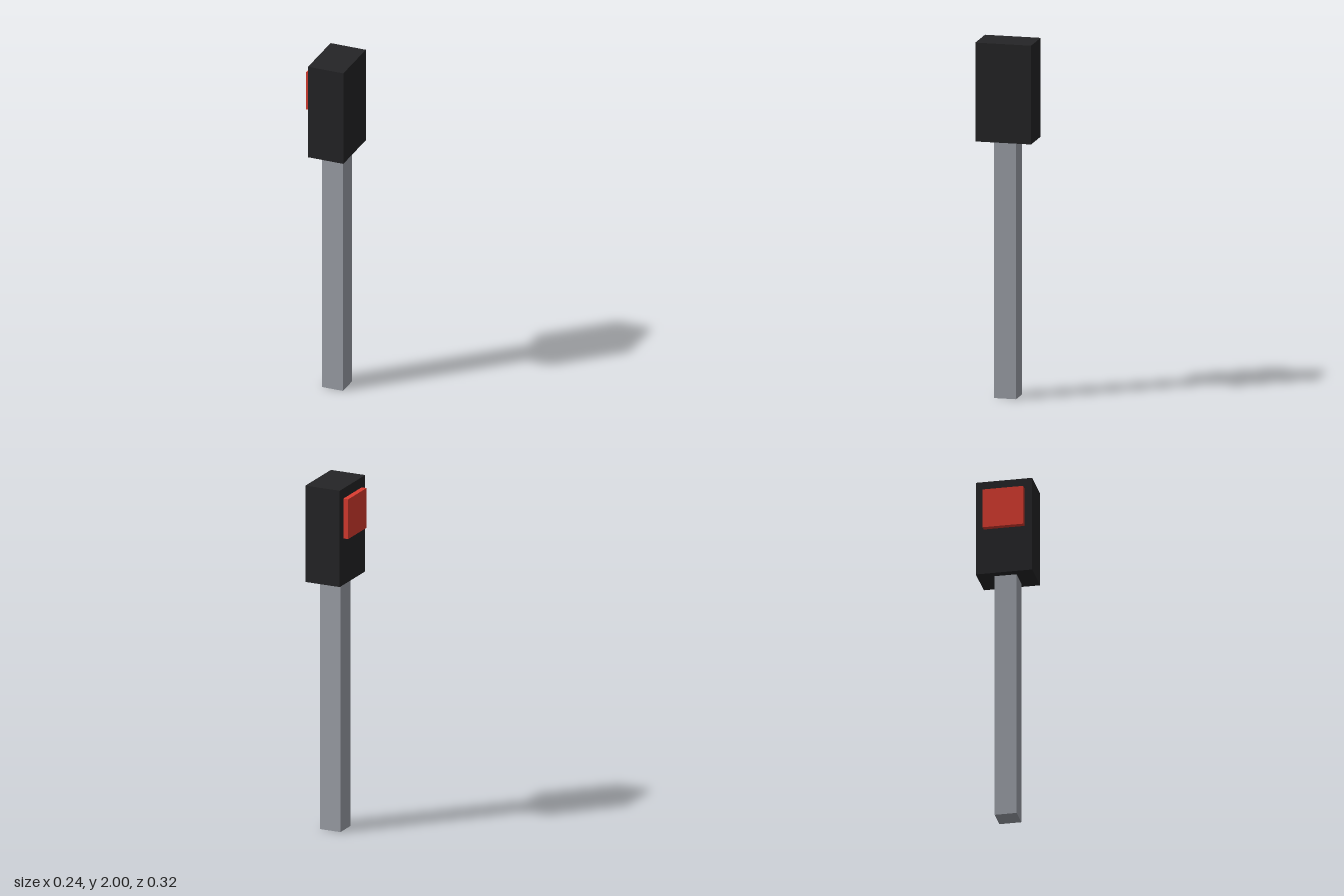
import * as THREE from 'three';

// Named box given by its minimum and maximum corners
function box(name, color, min, max) {
  const [w, h, d] = max.map((v, i) => v - min[i]);
  const mesh = new THREE.Mesh(
    new THREE.BoxGeometry(w, h, d),
    new THREE.MeshStandardMaterial({ color })
  );
  mesh.name = name;
  mesh.position.set(...max.map((v, i) => (v + min[i]) / 2));
  return mesh;
}

export function createModel() {
  const group = new THREE.Group();
  group.name = 'signalPost';
  group.add(
    // Square grey post
    box('post', 0xa0a4ac, [-0.047, 0, -0.062], [0.077, 1.445, 0.062]),
    // Black housing on top of the post
    box('housing', 0x252527, [-0.09, 1.445, -0.158], [0.12, 2, 0.158]),
    // Red panel on the side of the housing
    box('signalPanel', 0xdc3c30, [-0.12, 1.713, -0.114], [-0.09, 1.942, 0.114])
  );
  return group;
}
